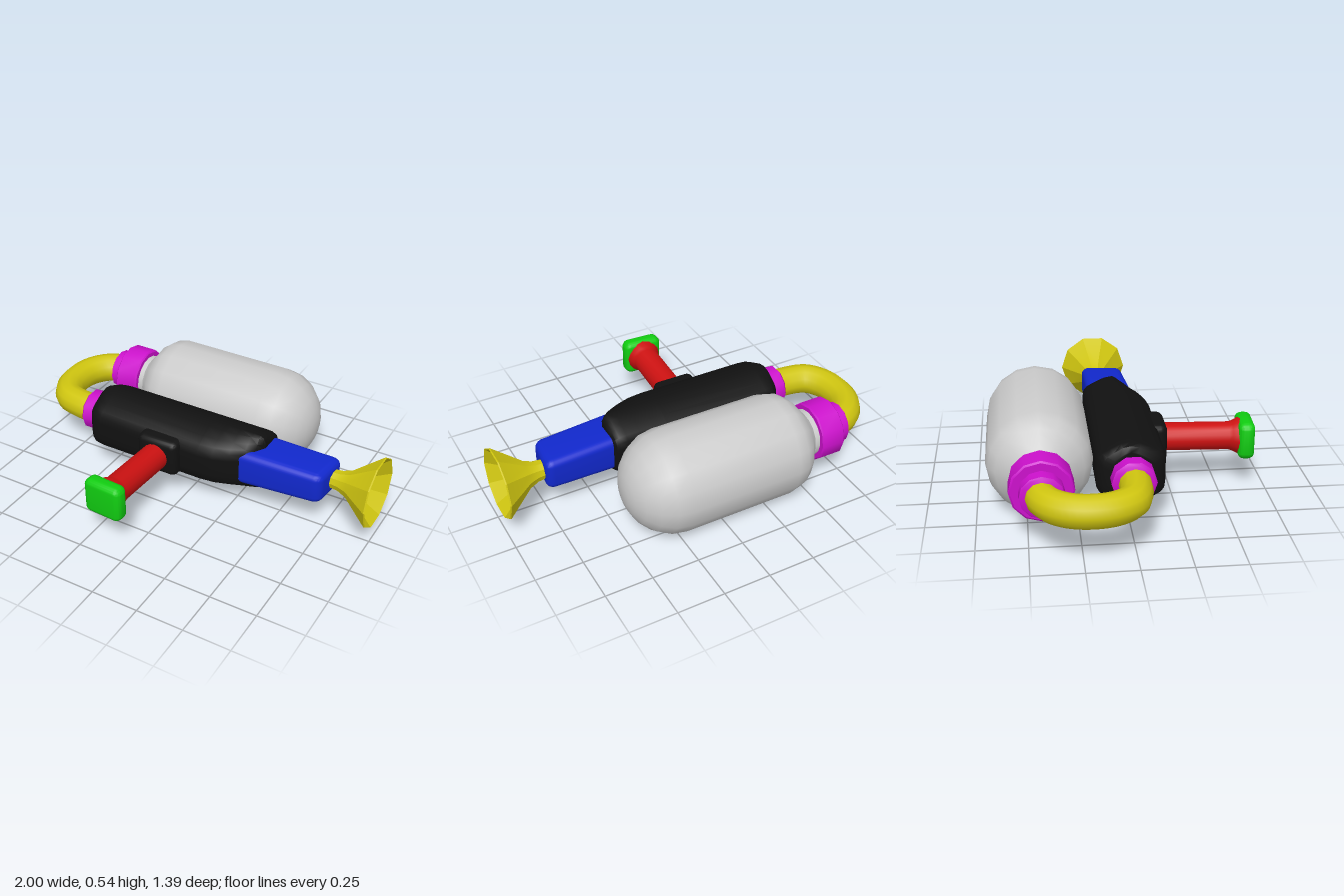
import * as THREE from 'three';
import { toCreasedNormals } from 'three/addons/utils/BufferGeometryUtils.js';
import { RoundedBoxGeometry } from 'three/addons/geometries/RoundedBoxGeometry.js';

const MID = 0.27; // height shared by all axes
const mat = (color, side = THREE.FrontSide) => new THREE.MeshStandardMaterial({ color, side });
const grey = mat(0xcccccc), black = mat(0x111111), red = mat(0xcc1111), green = mat(0x11cc11);
const blue = mat(0x1128cc), magenta = mat(0xcc11cc), yellow = mat(0xcfc510);
const yellowThin = mat(0xcfc510, THREE.DoubleSide);

function part(parent, name, geometry, material, x = 0, y = 0, z = 0) {
  const mesh = new THREE.Mesh(geometry, material);
  mesh.name = name;
  mesh.position.set(x, y, z);
  parent.add(mesh);
  return mesh;
}

// Turned shape; profile rows are [distance along axis, radius]
function turned(profile, sides, crease = 0.7) {
  const pts = profile.map(([a, r]) => new THREE.Vector2(r, a));
  return toCreasedNormals(new THREE.LatheGeometry(pts, sides), crease);
}
const alongX = (profile, sides, crease) => turned(profile, sides, crease).rotateZ(-Math.PI / 2);
const alongZ = (profile, sides, crease) => turned(profile, sides, crease).rotateX(Math.PI / 2);

// Move every vertex of a geometry by a rule, then rebuild its normals
function reshape(geometry, rule) {
  const p = geometry.attributes.position, v = new THREE.Vector3();
  for (let i = 0; i < p.count; i++) {
    rule(v.fromBufferAttribute(p, i));
    p.setXYZ(i, v.x, v.y, v.z);
  }
  return toCreasedNormals(geometry, 0.8);
}

// Main housing: a bevelled section swept along x, its front cut back at the muzzle end
function bodyGeometry() {
  // half section from top to bottom: [z fraction, y fraction]
  const front = [[0, 1], [0.28, 0.95], [0.6, 0.8], [0.85, 0.66], [0.97, 0.52], [1, 0.3]];
  const section = [
    ...front,
    ...front.slice().reverse().map(([z, y]) => [z, -y]),
    ...front.slice(1).map(([z, y]) => [-z, -y]),
    ...front.slice(1).reverse().map(([z, y]) => [-z, y]),
  ];
  // [x, back depth, front depth, half height]
  const stations = [
    [-0.59, 0.09, 0.12, 0.13], [-0.575, 0.13, 0.15, 0.155], [-0.545, 0.158, 0.172, 0.165],
    [-0.5, 0.165, 0.18, 0.165], [0.1, 0.165, 0.18, 0.165], [0.18, 0.165, 0.17, 0.165],
    [0.26, 0.165, 0.14, 0.165], [0.33, 0.165, 0.1, 0.165], [0.37, 0.165, 0.06, 0.162],
    [0.39, 0.16, 0.02, 0.15], [0.4, 0.145, 0.0, 0.13],
  ];
  const n = section.length, pos = [], index = [];
  for (const [x, back, fore, h] of stations)
    for (const [z, y] of section) pos.push(x, MID + y * h, z * (z > 0 ? fore : back));
  for (let i = 0; i < stations.length - 1; i++)
    for (let j = 0; j < n; j++) {
      const a = i * n + j, b = i * n + (j + 1) % n;
      index.push(a, b, b + n, a, b + n, a + n);
    }
  const last = (stations.length - 1) * n;
  for (let j = 1; j < n - 1; j++) {
    index.push(0, j + 1, j);
    index.push(last, last + j, last + j + 1);
  }
  const g = new THREE.BufferGeometry();
  g.setAttribute('position', new THREE.Float32BufferAttribute(pos, 3));
  g.setIndex(index);
  return toCreasedNormals(g, 0.7);
}

export function createModel() {
  const model = new THREE.Group();
  model.name = 'waterBlaster';

  // Tank with domed end and neck
  part(model, 'tank', alongX([
    [-0.6, 0], [-0.6, 0.125], [-0.545, 0.125], [-0.51, 0.165], [-0.47, 0.22], [-0.42, 0.255],
    [-0.36, 0.268], [0.24, 0.268], [0.32, 0.255], [0.39, 0.217], [0.445, 0.16], [0.475, 0.1],
    [0.488, 0.05], [0.49, 0],
  ], 16), grey, 0, MID, -0.43);

  // Hose and its couplings
  part(model, 'tankCap', alongX([
    [-0.77, 0], [-0.77, 0.1], [-0.765, 0.108], [-0.705, 0.11], [-0.705, 0.148], [-0.698, 0.157],
    [-0.58, 0.157], [-0.573, 0.15], [-0.573, 0],
  ], 12, 0.6), magenta, 0, MID, -0.43);
  part(model, 'hoseCoupling', alongX([
    [-0.672, 0], [-0.672, 0.095], [-0.66, 0.11], [-0.57, 0.11], [-0.57, 0],
  ], 10, 0.7), magenta, 0, MID, 0.01);
  const path = new THREE.CatmullRomCurve3([
    [-0.7, -0.43], [-0.77, -0.43], [-0.85, -0.385], [-0.905, -0.3], [-0.92, -0.2],
    [-0.9, -0.1], [-0.84, -0.02], [-0.73, 0.01], [-0.62, 0.01],
  ].map(([x, z]) => new THREE.Vector3(x, MID, z)));
  part(model, 'hose', new THREE.TubeGeometry(path, 32, 0.08, 12), yellow);

  // Housing and grip collar
  part(model, 'body', bodyGeometry(), black);
  part(model, 'gripCollar', reshape(new RoundedBoxGeometry(0.24, 0.21, 0.16, 3, 0.035), (v) => {
    const k = 1 - 0.5 * Math.max(0, v.z);
    v.x *= k;
    v.y *= k;
  }), black, -0.12, MID, 0.15);

  // Barrel, tapered with a slightly raked end
  part(model, 'barrel', reshape(new RoundedBoxGeometry(0.6, 0.21, 0.25, 4, 0.045), (v) => {
    const t = (v.x + 0.3) / 0.6;
    v.y *= 1 - 0.2 * t;
    v.z = v.z * (1.02 - 0.1 * t) - 0.025 * t;
    v.x -= 0.1 * v.z * t;
  }), blue, 0.455, MID, -0.005);

  // Flared nozzle, open in front
  const horn = alongX([
    [0.73, 0.05], [0.77, 0.052], [0.8, 0.055], [0.85, 0.075], [0.994, 0.19], [1.0, 0.186],
    [0.99, 0.178], [0.85, 0.045], [0.8, 0],
  ], 10, 0.35);
  part(model, 'nozzle', horn, yellowThin, 0, MID, -0.06);

  // Pump handle, leaning slightly to the right
  const handle = new THREE.Group();
  handle.name = 'pumpHandle';
  handle.position.set(-0.122, MID, 0.2);
  handle.rotation.y = -0.06;
  model.add(handle);
  part(handle, 'handleRod', alongZ([
    [-0.05, 0], [-0.05, 0.073], [0.36, 0.073], [0.38, 0.079], [0.41, 0.095], [0.43, 0.095], [0.43, 0],
  ], 16), red);
  part(handle, 'handleEnd', toCreasedNormals(new RoundedBoxGeometry(0.23, 0.212, 0.083, 4, 0.036), 0.8)
    , green, 0, 0, 0.447);
  // Rounder corners on the end pad
  const pad = handle.children[1];
  pad.geometry = reshape(pad.geometry, (v) => {
    const u = Math.abs(v.x) / 0.115, w = Math.abs(v.y) / 0.106;
    const k = 1 - 0.12 * u * u * w * w;
    v.x *= k;
    v.y *= k;
  });

  return model;
}
